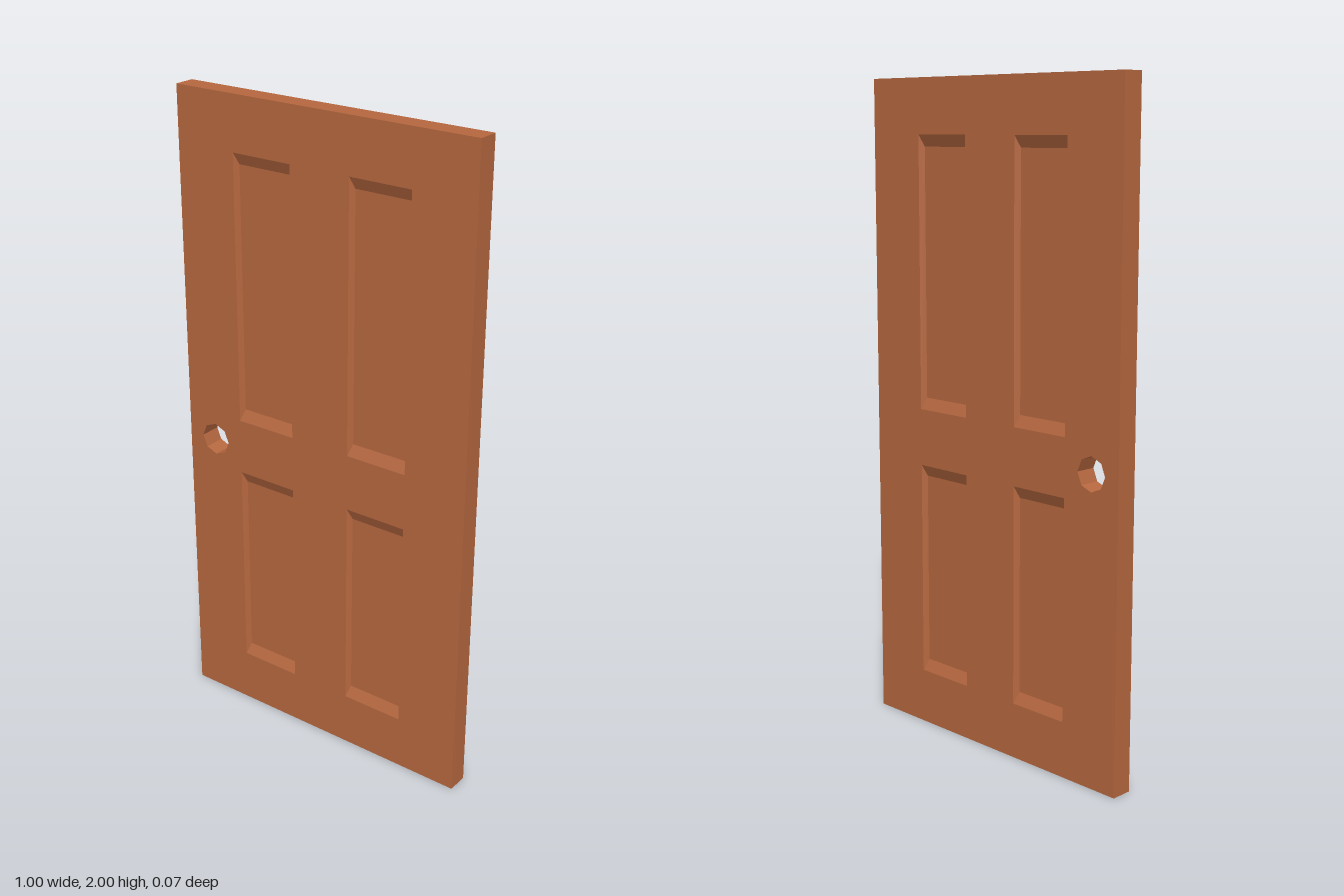
import * as THREE from 'three';

const HALF = 0.033;   // half thickness of the door
const DEPTH = 0.016;  // how far the panels are sunk
const KNOB = { x: -0.4, y: 0.92, r: 0.051, sides: 8 };
const PANELS = [];
for (const x of [-0.2, 0.2]) {
  PANELS.push({ x, y0: 0.17, y1: 0.835 }, { x, y0: 1.01, y1: 1.835 });
}

// Outlines, counter-clockwise seen from the front
const rect = (x0, y0, x1, y1) =>
  [[x0, y0], [x1, y0], [x1, y1], [x0, y1]].map(([x, y]) => new THREE.Vector2(x, y));

const knobOutline = (cx) => Array.from({ length: KNOB.sides }, (_, i) => {
  const a = (i / KNOB.sides) * Math.PI * 2;
  return new THREE.Vector2(cx + KNOB.r * Math.cos(a), KNOB.y + KNOB.r * Math.sin(a));
});

// Flat-shaded strip joining a front outline to a back outline
function loft(front, zFront, back, zBack) {
  const pos = [];
  front.forEach((p, i) => {
    const j = (i + 1) % front.length;
    const a = [p.x, p.y, zFront], b = [back[i].x, back[i].y, zBack];
    const c = [back[j].x, back[j].y, zBack], d = [front[j].x, front[j].y, zFront];
    pos.push(...a, ...b, ...c, ...a, ...c, ...d);
  });
  const geo = new THREE.BufferGeometry();
  geo.setAttribute('position', new THREE.Float32BufferAttribute(pos, 3));
  geo.computeVertexNormals();
  return geo;
}

export function createModel() {
  const wood = new THREE.MeshStandardMaterial({ color: 0xb5673f });
  wood.name = 'brownWood';

  const add = (parent, name, geo) => {
    const mesh = new THREE.Mesh(geo, wood);
    mesh.name = name;
    parent.add(mesh);
    return mesh;
  };

  // One side of the door: flat frame with four sunken, bevelled panels
  function makeSide(name, knobX) {
    const side = new THREE.Group();
    side.name = name;
    const shape = new THREE.Shape(rect(-0.5, 0, 0.5, 2));
    shape.holes.push(new THREE.Path(knobOutline(knobX).reverse()));
    for (const { x, y0, y1 } of PANELS) {
      const outer = rect(x - 0.1, y0, x + 0.1, y1).reverse();
      const inner = rect(x - 0.09, y0 + 0.035, x + 0.09, y1 - 0.035);
      shape.holes.push(new THREE.Path(outer));
      add(side, 'panelFloor', new THREE.ShapeGeometry(new THREE.Shape(inner)))
        .position.z = HALF - DEPTH;
      add(side, 'panelBevel', loft(outer, HALF, inner.slice().reverse(), HALF - DEPTH));
    }
    add(side, 'frameFace', new THREE.ShapeGeometry(shape)).position.z = HALF;
    return side;
  }

  const door = new THREE.Group();
  door.name = 'door';
  door.add(makeSide('frontSide', KNOB.x));
  const back = makeSide('backSide', -KNOB.x);
  back.rotation.y = Math.PI;
  door.add(back);

  // Outer edges and the bore for the knob
  const edge = rect(-0.5, 0, 0.5, 2);
  add(door, 'doorEdges', loft(edge, HALF, edge, -HALF));
  const bore = knobOutline(KNOB.x).reverse();
  add(door, 'knobHole', loft(bore, HALF, bore, -HALF));
  return door;
}
